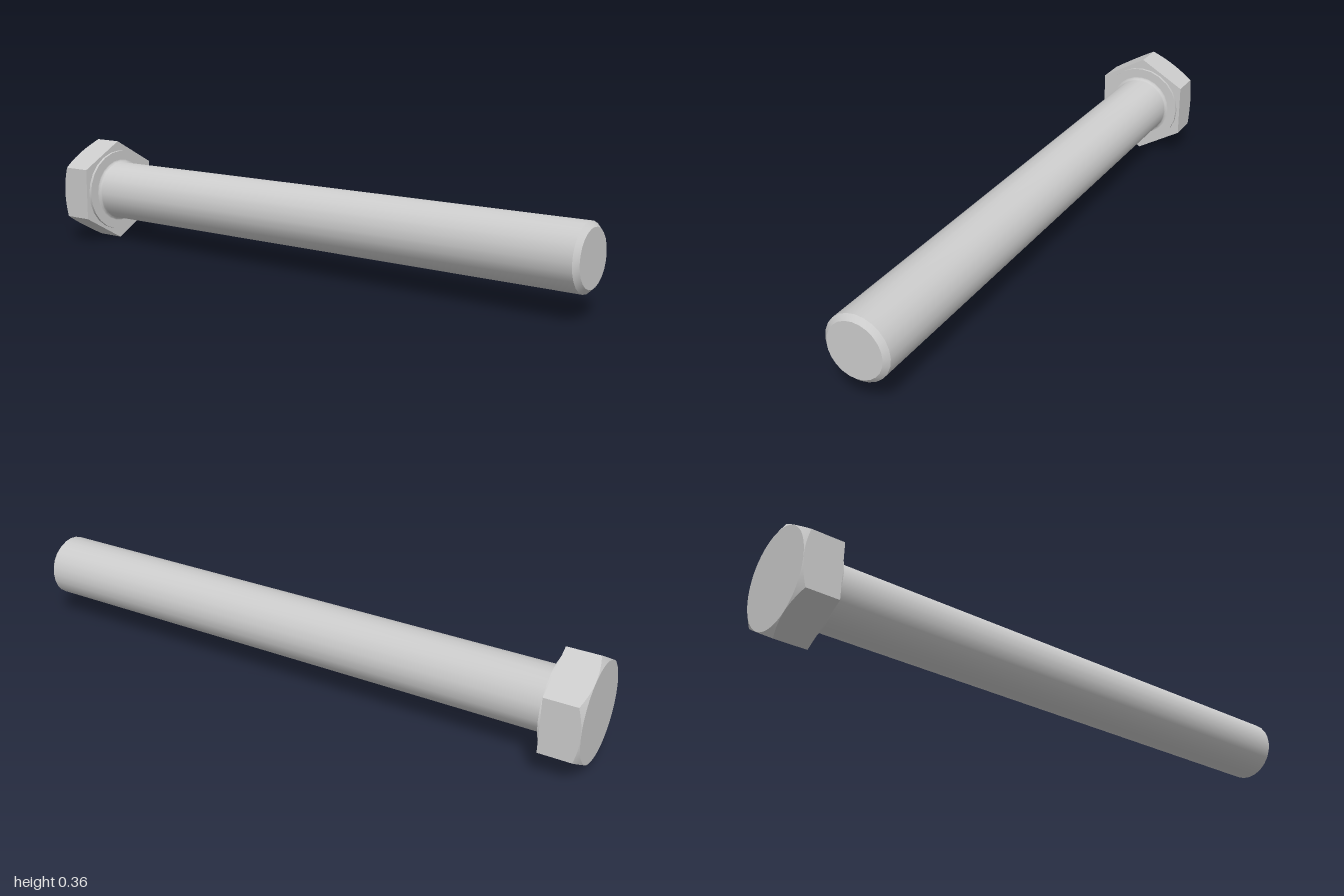
import * as THREE from 'three';
import { toCreasedNormals } from 'three/addons/utils/BufferGeometryUtils.js';

const AXIS_Y = 0.1805; // height of the bolt's axis
const FLAT = 0.1563; // half the width across the flats
const CHAMFER = 0.6; // slope of the conical cut on the head's corners

// Turned part along x, from [x, radius] pairs; optional rule moves the vertices
function turned(name, profile, segments, material, rule) {
  const points = profile.map(([x, r]) => new THREE.Vector2(r, x));
  const lathe = new THREE.LatheGeometry(points, segments);
  if (rule) rule(lathe.attributes.position);
  lathe.rotateZ(-Math.PI / 2);
  const mesh = new THREE.Mesh(toCreasedNormals(lathe, THREE.MathUtils.degToRad(28)), material);
  mesh.name = name;
  mesh.position.y = AXIS_Y;
  return mesh;
}

// Push the outer rings out to a hexagon and curve the chamfer edge
function hexagonRule(position) {
  for (let i = 0; i < position.count; i++) {
    const x = position.getX(i), y = position.getY(i), z = position.getZ(i);
    if (Math.hypot(x, z) < FLAT - 0.0001) continue;
    const third = Math.PI / 3;
    const angle = Math.atan2(x, z);
    const local = angle - Math.round(angle / third) * third;
    const r = FLAT / Math.cos(local);
    const front = y < -0.95;
    position.setXYZ(i, r * Math.sin(angle), front ? y + (r - FLAT) * CHAMFER : y, r * Math.cos(angle));
  }
}

export function createModel() {
  const group = new THREE.Group();
  group.name = 'hexBolt';
  const steel = new THREE.MeshStandardMaterial({ color: 0xcccccc });

  // Hexagonal head with chamfered outer corners
  group.add(turned('head', [[-1, 0], [-1, FLAT - 0.0008], [-0.9995, FLAT], [-0.88, FLAT], [-0.88, 0]], 72, steel, hexagonRule));

  // Thin round bearing face under the head
  group.add(turned('washerFace', [[-0.882, 0.1455], [-0.87, 0.1455], [-0.87, 0.09]], 24, steel));

  // Shank with a small fillet at the head and a chamfered tip
  const fillet = [];
  for (let i = 0; i <= 4; i++) {
    const a = (i / 4) * Math.PI / 2;
    fillet.push([-0.87 + 0.01 * (1 - Math.cos(a)), 0.103 + 0.01 * (1 - Math.sin(a))]);
  }
  group.add(turned('shank', [...fillet, [0.985, 0.103], [1, 0.088], [1, 0]], 24, steel));

  return group;
}
